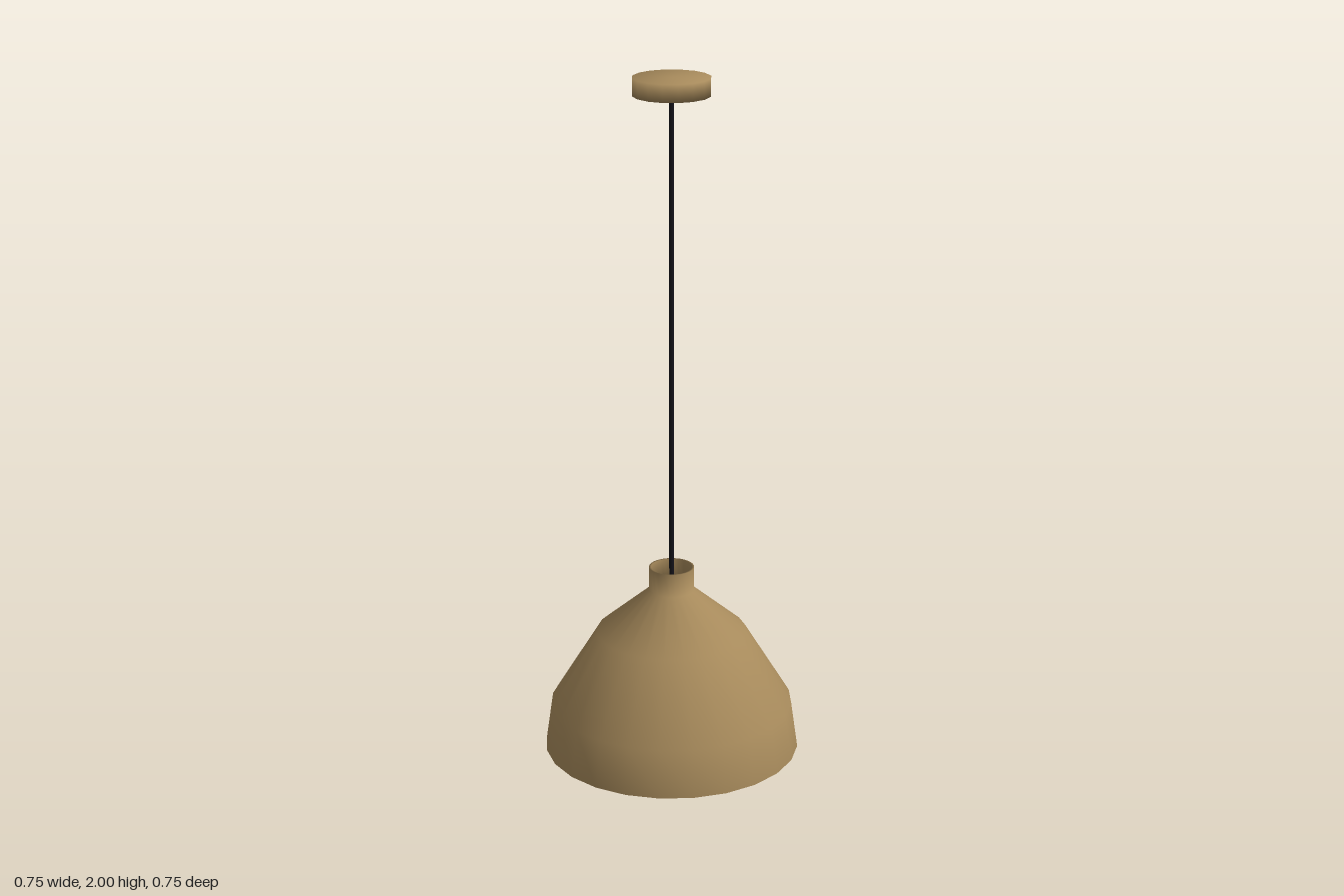
import * as THREE from 'three';

export function createModel() {
  const lamp = new THREE.Group();
  lamp.name = 'pendantLamp';

  const brass = new THREE.MeshStandardMaterial({ color: 0xa88b5c, side: THREE.DoubleSide });
  brass.name = 'brass';
  const black = new THREE.MeshStandardMaterial({ color: 0x14131a });
  black.name = 'black';

  const add = (name, geometry, material, y = 0) => {
    const mesh = new THREE.Mesh(geometry, material);
    mesh.name = name;
    mesh.position.y = y;
    lamp.add(mesh);
  };
  const lathe = (points, sides) =>
    new THREE.LatheGeometry(points.map(([x, y]) => new THREE.Vector2(x, y)), sides);

  // Thin-walled shade, open at the bottom and at the neck
  const wall = 0.006;
  const outer = [[0.375, 0], [0.355, 0.14], [0.22, 0.36], [0.066, 0.49], [0.066, 0.56]];
  const inner = outer.map(([x, y]) => [x - wall, y]);
  add('shade', lathe([inner[0], ...outer, ...inner.reverse()], 24), brass);

  // Bulb hanging inside the shade
  add('bulb', new THREE.SphereGeometry(0.068, 16, 12), brass, 0.2);

  // Cord from the ceiling plate down to the bulb
  const cordBottom = 0.25, cordTop = 1.96;
  add('cord', new THREE.CylinderGeometry(0.007, 0.007, cordTop - cordBottom, 8), black,
    (cordTop + cordBottom) / 2);

  // Ceiling plate with softly shaded edges
  add('ceilingPlate', lathe([[0, 1.95], [0.11, 1.95], [0.11, 2], [0, 2]], 16), brass);

  return lamp;
}
